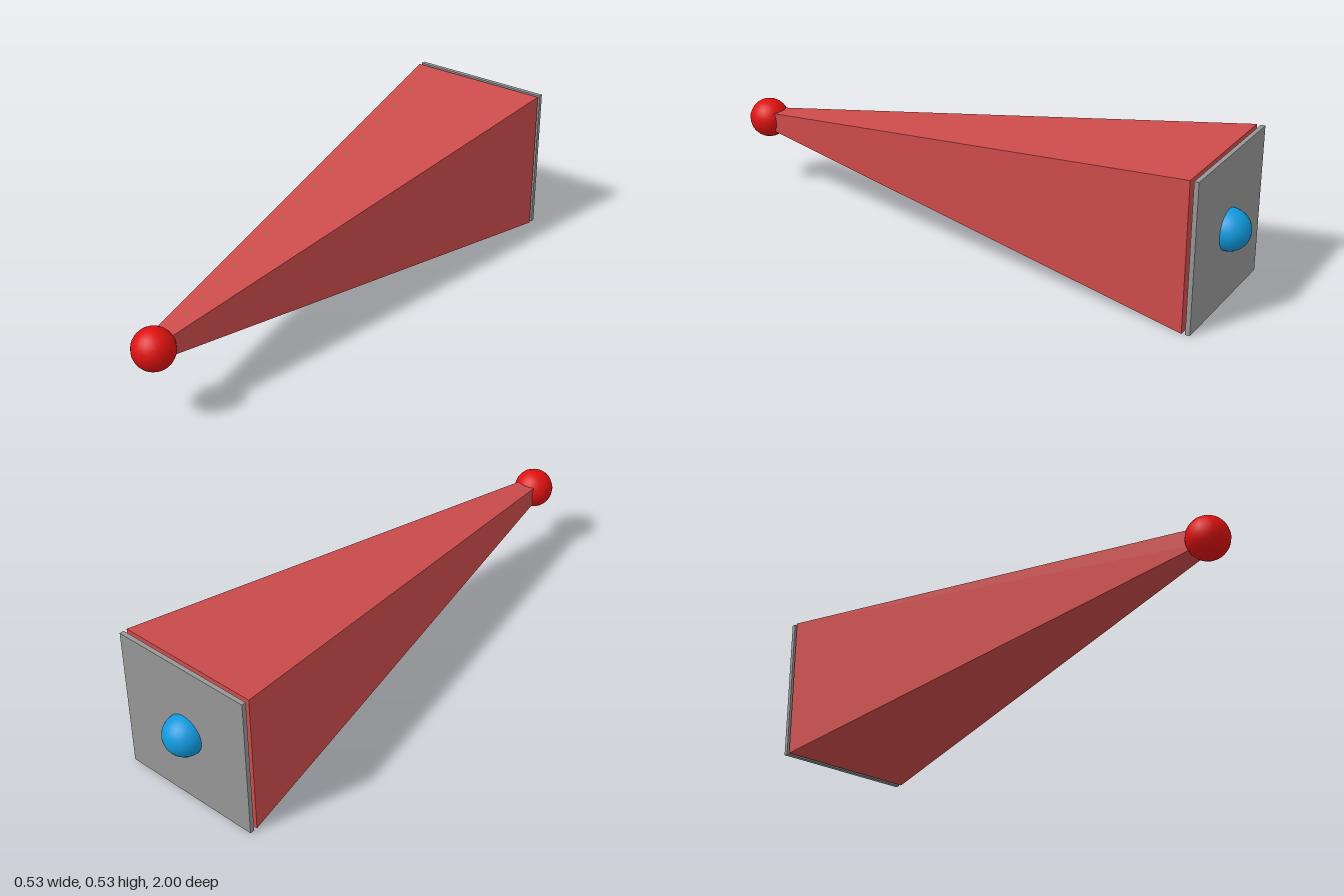
import * as THREE from 'three';

export function createModel() {
  const group = new THREE.Group();
  const axisY = 0.264;  // height of the long axis
  const half = 0.264;   // half width of the square end

  const material = (name, color, flatShading = false) => {
    const m = new THREE.MeshStandardMaterial({ color, flatShading });
    m.name = name;
    return m;
  };
  const add = (name, geometry, mat, z) => {
    const mesh = new THREE.Mesh(geometry, mat);
    mesh.name = name;
    mesh.position.set(0, axisY, z);
    group.add(mesh);
  };

  const coneRed = material('soft red', 0xcc4b4b, true);
  const tipRed = material('bright red', 0xdd1111);
  const grey = material('grey', 0x969696, true);
  const blue = material('blue', 0x1199dd);

  // Four-sided tapering body, narrow end forward and sunk in the tip ball
  const back = -0.895, front = 0.928;
  const body = new THREE.CylinderGeometry(0.029 * Math.SQRT2, half * Math.SQRT2, front - back, 4);
  body.rotateY(Math.PI / 4).rotateX(Math.PI / 2);
  add('taperedBody', body, coneRed, (front + back) / 2);

  // Square plate just behind the body, with a narrow gap
  add('backPlate', new THREE.BoxGeometry(half * 2, half * 2, 0.016), grey, -0.916);

  // Balls at both ends
  const ball = new THREE.SphereGeometry(0.072, 20, 14);
  add('frontBall', ball, tipRed, 0.928);
  add('backBall', ball, blue, -0.928);

  return group;
}
